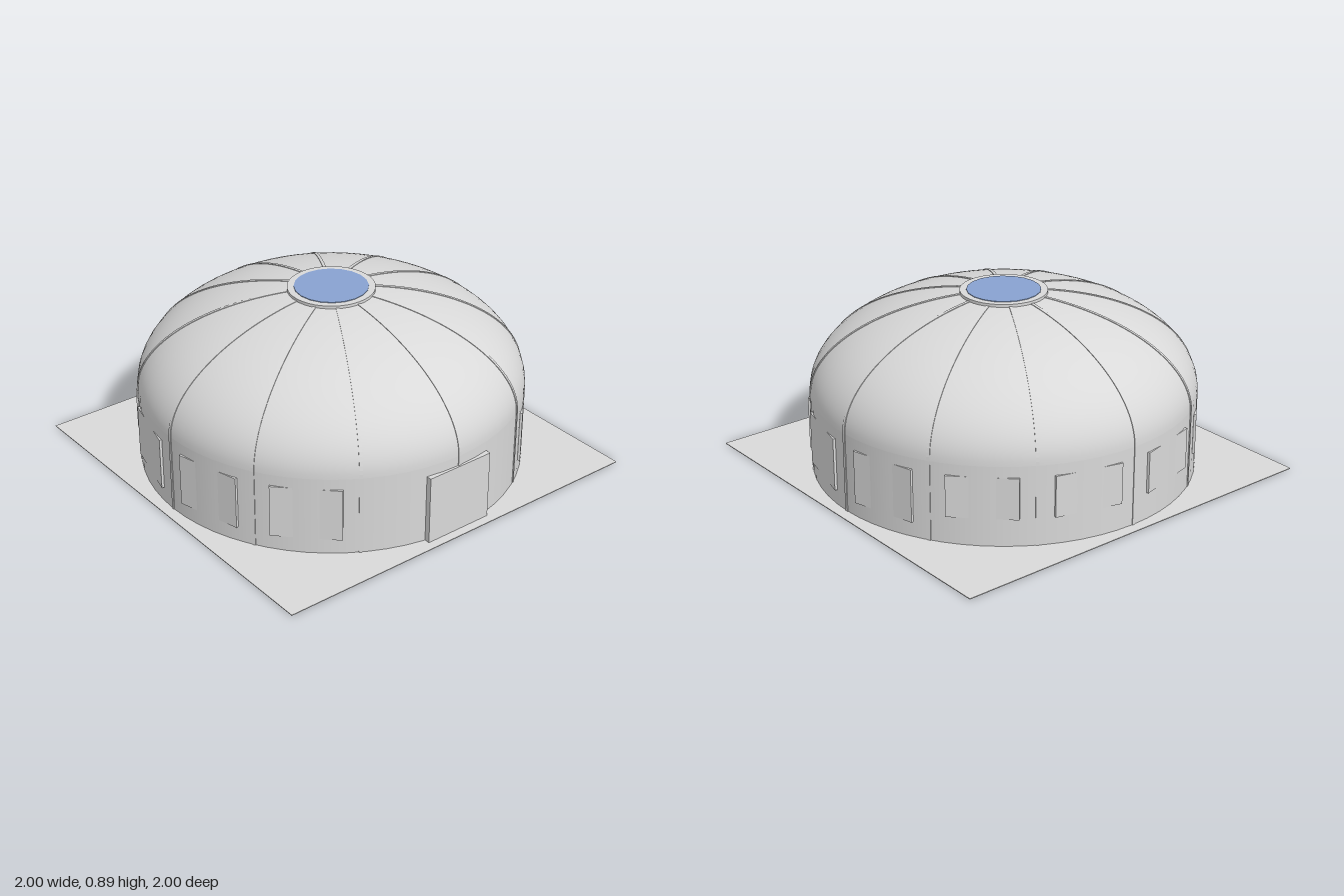
import * as THREE from 'three';

const R = 0.945;       // wall radius
const WALL = 0.4;      // wall height
const RISE = 0.485;    // dome height above the wall

const concrete = new THREE.MeshStandardMaterial({ color: 0xd9d9d9 });
concrete.name = 'paleGrey';
const glass = new THREE.MeshStandardMaterial({ color: 0x88a2d0 });
glass.name = 'skyBlue';

// Wall and elliptical dome outline, from the ground up to radius rEnd, pushed out by off
function outline(off, rEnd, steps) {
  const pts = [new THREE.Vector2(R + off, 0)];
  const end = Math.acos(rEnd / (R + off));
  for (let i = 0; i <= steps; i++) {
    const a = (end * i) / steps;
    pts.push(new THREE.Vector2((R + off) * Math.cos(a), WALL + (RISE + off) * Math.sin(a)));
  }
  return pts;
}

export function createModel() {
  const model = new THREE.Group();
  model.name = 'domedHall';
  const add = (name, geometry, material, parent = model) => {
    const mesh = new THREE.Mesh(geometry, material);
    mesh.name = name;
    parent.add(mesh);
    return mesh;
  };

  // Ground slab
  add('groundSlab', new THREE.BoxGeometry(2, 0.004, 2), concrete).position.y = 0.002;

  // Straight wall and dome shell
  add('wall', new THREE.CylinderGeometry(R, R, WALL, 64, 1, true), concrete).position.y = WALL / 2;
  const domePoints = outline(0, 0.0001, 32).slice(1);
  add('dome', new THREE.LatheGeometry(domePoints, 64), concrete);

  // Thin ribs, every 30 degrees, from the ground to the skylight collar
  const ribShape = new THREE.Shape([
    ...outline(0.003, 0.2, 32),
    ...outline(-0.015, 0.2, 32).reverse(),
  ]);
  const ribGeometry = new THREE.ExtrudeGeometry(ribShape, { depth: 0.016, bevelEnabled: false });
  ribGeometry.translate(0, 0, -0.008);
  const ribs = new THREE.Group();
  ribs.name = 'ribs';
  model.add(ribs);
  for (let i = 0; i < 12; i++) {
    add('rib', ribGeometry, concrete, ribs).rotation.y = (i * Math.PI) / 6;
  }

  // Flat window panels set into the wall; the rear four have higher sills
  const panels = new THREE.Group();
  panels.name = 'windowPanels';
  model.add(panels);
  for (const side of [-1, 1]) {
    for (const degrees of [45, 75, 105, 135, 165]) {
      const a = THREE.MathUtils.degToRad(degrees) * side;
      const sill = degrees > 120 ? 0.14 : 0.08;
      const top = 0.345;
      const panel = add('windowPanel', new THREE.BoxGeometry(0.334, top - sill, 0.03), concrete, panels);
      const d = 0.942 - 0.015;
      panel.position.set(Math.sin(a) * d, (top + sill) / 2, Math.cos(a) * d);
      panel.rotation.y = a;
    }
  }

  // Entrance door at the front
  add('door', new THREE.BoxGeometry(0.36, 0.35, 0.04), concrete).position.set(0, 0.175, 0.935);

  // Skylight and its collar at the crown
  add('skylightCollar', new THREE.CylinderGeometry(0.212, 0.212, 0.03, 48), concrete).position.y = 0.872;
  add('skylight', new THREE.CylinderGeometry(0.18, 0.18, 0.006, 20), glass).position.y = 0.887;

  return model;
}
